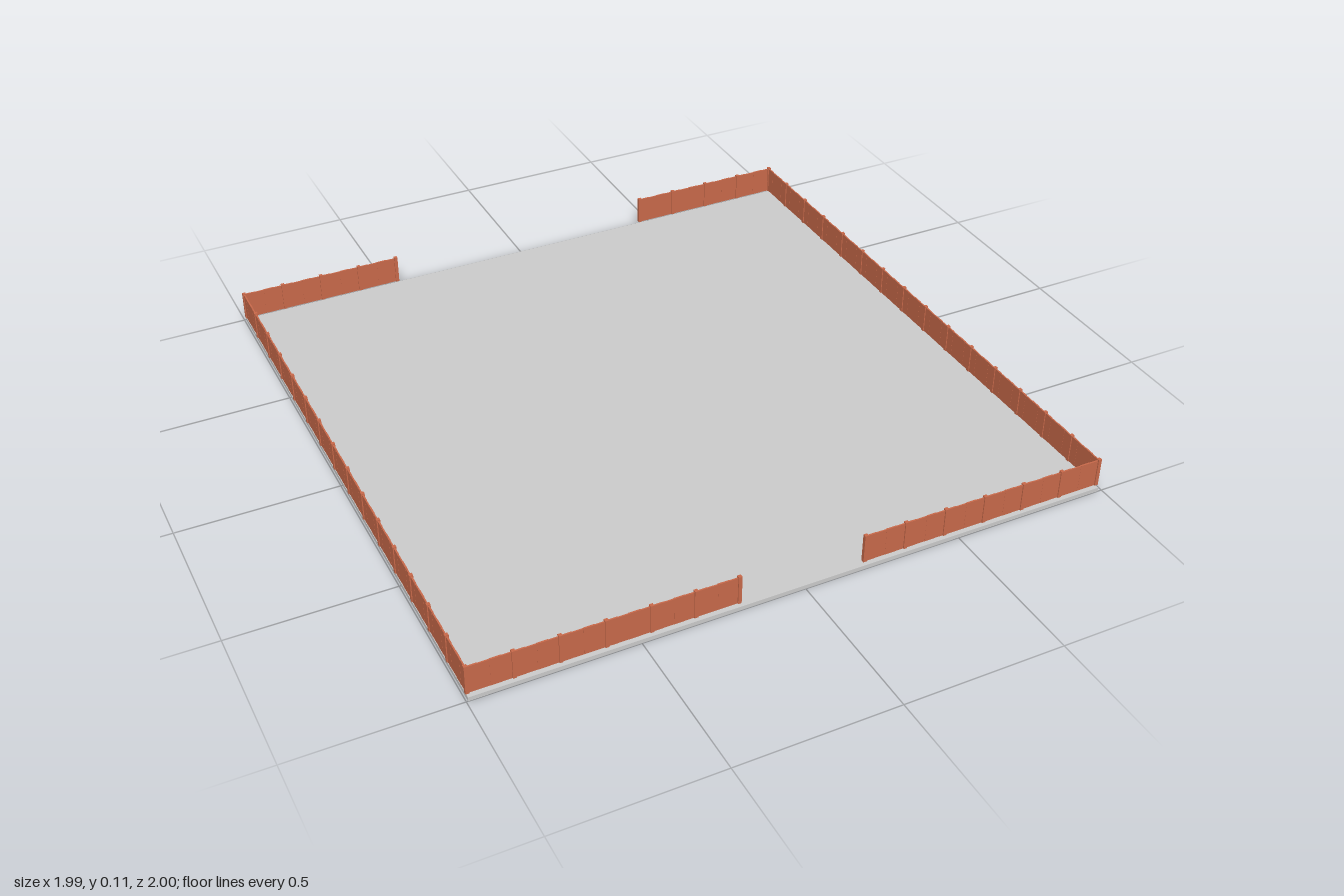
import * as THREE from 'three';

const STEP = 0.132;   // distance between fence posts
const BASE = 0.013;   // top of the ground slab
const PLANKS = 4;     // planks per fence panel

const wood = new THREE.MeshStandardMaterial({ color: 0xc8694a });
const grey = new THREE.MeshStandardMaterial({ color: 0xcccccc });

function box(name, w, h, d, x, y, z, material) {
  const mesh = new THREE.Mesh(new THREE.BoxGeometry(w, h, d), material);
  mesh.name = name;
  mesh.position.set(x, y + h / 2, z);
  return mesh;
}

// A straight run of fence along local +x, starting with a post at the origin
function fenceRun(name, panels) {
  const run = new THREE.Group();
  run.name = name;
  for (let i = 0; i <= panels; i++) {
    run.add(box('fencePost', 0.011, 0.093, 0.011, i * STEP, BASE, 0, wood));
  }
  const pitch = STEP / PLANKS;
  for (let i = 0; i < panels * PLANKS; i++) {
    // neighbouring planks differ slightly in height and thickness
    const odd = i % 2;
    run.add(box('fencePlank', pitch, 0.09 - odd * 0.001, 0.005 - odd * 0.0008,
      (i + 0.5) * pitch, BASE, 0, wood));
  }
  return run;
}

export function createModel() {
  const group = new THREE.Group();
  group.name = 'fencedYard';

  // Ground slab
  group.add(box('groundSlab', 1.982, BASE, 1.986, -0.004, 0, 0.007, grey));

  const left = 0.989, right = -0.991, front = 0.982, back = -0.993;

  // Front and back runs, leaving a gateway in the middle of each
  for (const [side, z, panels] of [['front', front, 6], ['back', back, 4]]) {
    const a = fenceRun(side + 'FenceRight', panels);
    a.position.set(right, 0, z);
    const b = fenceRun(side + 'FenceLeft', panels);
    b.position.set(left - panels * STEP, 0, z);
    group.add(a, b);
  }

  // Full-length side runs
  for (const [name, x] of [['leftFence', left], ['rightFence', right]]) {
    const run = fenceRun(name, 15);
    run.rotation.y = -Math.PI / 2;
    run.position.set(x, 0, back);
    run.scale.x = (front - back) / (15 * STEP);
    group.add(run);
  }
  return group;
}
